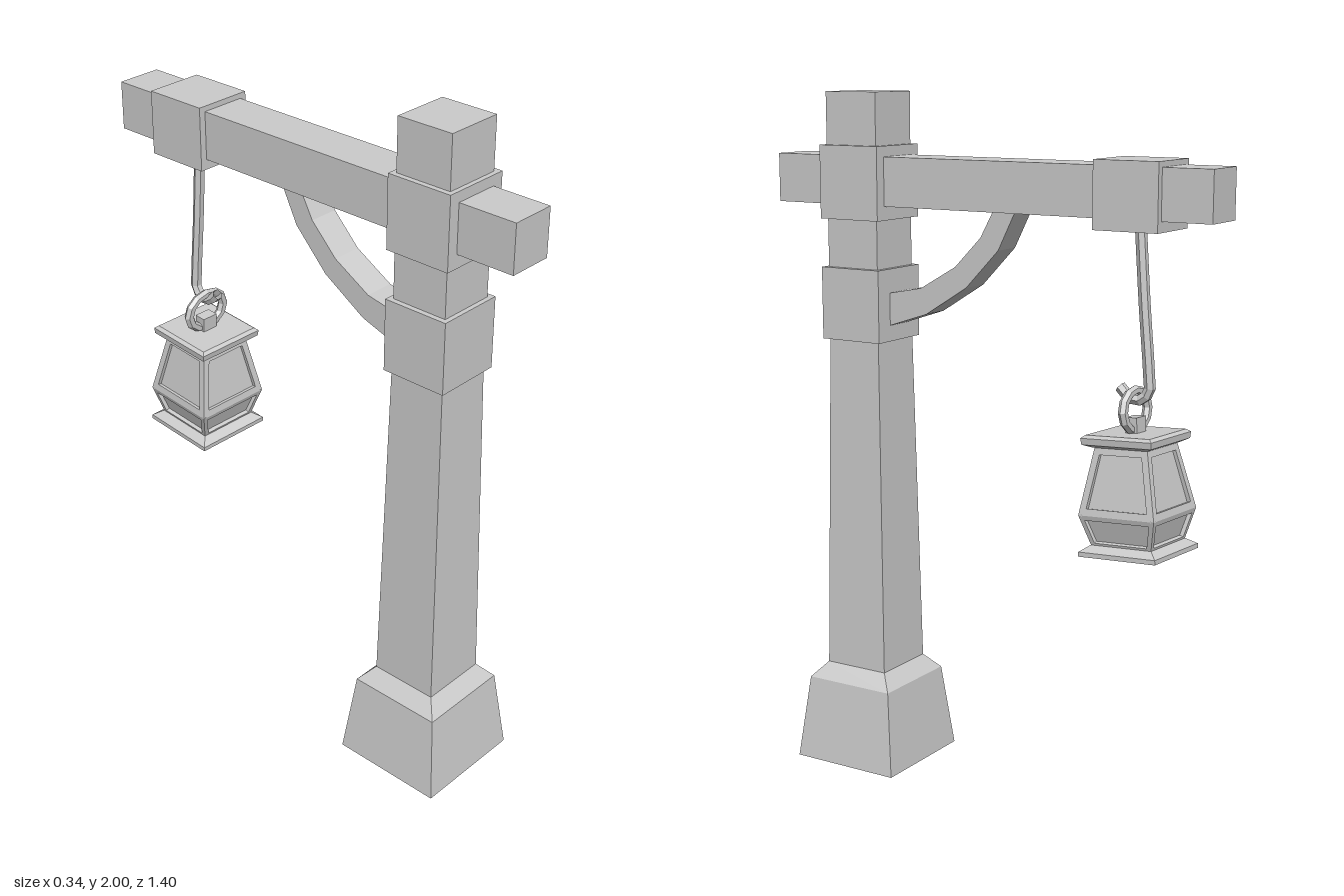
import * as THREE from 'three';

const mat = new THREE.MeshStandardMaterial({ color: 0xcccccc, flatShading: true, side: THREE.DoubleSide });

function add(parent, name, geo, x = 0, y = 0, z = 0) {
  const mesh = new THREE.Mesh(geo, mat);
  mesh.name = name;
  mesh.position.set(x, y, z);
  parent.add(mesh);
  return mesh;
}

// Square-sectioned solid from [half width, height] pairs, bottom to top
function squareLoft(profile) {
  const pts = profile.map(([h, y]) => new THREE.Vector2(h * Math.SQRT2, y));
  return new THREE.LatheGeometry(pts, 4, Math.PI / 4);
}

// Trapezoid frame with an opening, outer face on z = 0
function frameGeometry(bottom, top, height, rail, depth) {
  const trapezoid = (b, t, y0, y1) => [[-b, y0], [b, y0], [t, y1], [-t, y1]].map(p => new THREE.Vector2(...p));
  const at = y => bottom + (top - bottom) * y / height;
  const shape = new THREE.Shape(trapezoid(bottom, top, 0, height));
  const y0 = rail, y1 = height - rail;
  shape.holes.push(new THREE.Path(trapezoid(at(y0) - rail, at(y1) - rail, y0, y1)));
  return new THREE.ExtrudeGeometry(shape, { depth, bevelEnabled: false }).translate(0, 0, -depth);
}

function createLantern() {
  const g = new THREE.Group();
  g.name = 'lantern';

  // Glass body, set slightly behind the frames
  add(g, 'lanternPanels', squareLoft([[0.08, -0.31], [0.106, -0.22], [0.072, -0.035]]));

  // Upper and lower frames on four sides
  for (let i = 0; i < 4; i++) {
    const side = new THREE.Group();
    side.name = 'lanternSide';
    side.rotation.y = i * Math.PI / 2;
    g.add(side);
    for (const [name, bottom, top, y0, y1, rail] of [
      ['upperFrame', 0.118, 0.082, -0.22, -0.035, 0.02],
      ['lowerFrame', 0.092, 0.118, -0.312, -0.22, 0.014],
    ]) {
      const h = Math.hypot(y1 - y0, bottom - top);
      const frame = add(side, name, frameGeometry(bottom, top, h, rail, 0.012), 0, y0, bottom);
      frame.rotation.x = -Math.atan2(bottom - top, y1 - y0);
    }
  }

  // Lid, foot plate, lug and ring
  add(g, 'lanternLid', squareLoft([[0, -0.036], [0.085, -0.036], [0.108, -0.026], [0.11, -0.008], [0.1, 0], [0, 0]]));
  add(g, 'lanternFoot', squareLoft([[0, -0.335], [0.12, -0.335], [0.12, -0.322], [0.095, -0.305], [0, -0.305]]));
  add(g, 'lanternLug', new THREE.BoxGeometry(0.05, 0.045, 0.036), 0, 0.02, 0);
  add(g, 'lanternRing', new THREE.TorusGeometry(0.055, 0.013, 6, 12).scale(1.2, 1, 1), 0, 0.06, 0);

  g.position.set(-0.006, 1.1, -0.452);
  g.rotation.set(0.06, -0.045, 0.03);
  return g;
}

export function createModel() {
  const model = new THREE.Group();
  model.name = 'lanternPost';
  const postZ = 0.425;

  // Post flaring into an open-bottomed base
  add(model, 'post', squareLoft([[0.172, 0], [0.143, 0.25], [0.103, 0.295], [0.086, 1.3], [0.086, 2], [0, 2]]), 0, 0, postZ);

  // Crossbeam and the bands around post and beam
  add(model, 'crossbeam', new THREE.BoxGeometry(0.136, 0.14, 1.4), 0, 1.75, 0);
  add(model, 'lowerBand', new THREE.BoxGeometry(0.204, 0.21, 0.2), 0, 1.395, postZ);
  add(model, 'upperBand', new THREE.BoxGeometry(0.204, 0.21, 0.2), 0, 1.745, postZ);
  add(model, 'beamBand', new THREE.BoxGeometry(0.176, 0.185, 0.193), 0, 1.743, -0.457);

  // Curved brace under the beam, drawn as (-z, y) and turned to face sideways
  const outline = [
    [-0.36, 1.335], [-0.33, 1.335], [-0.2, 1.378], [-0.064, 1.463], [0.042, 1.574], [0.1, 1.69],
    [0.03, 1.69], [-0.016, 1.606], [-0.1, 1.52], [-0.217, 1.452], [-0.33, 1.43], [-0.36, 1.43],
  ].map(p => new THREE.Vector2(...p));
  const brace = new THREE.ExtrudeGeometry(new THREE.Shape(outline), { depth: 0.09, bevelEnabled: false });
  add(model, 'brace', brace.translate(0, 0, -0.045).rotateY(Math.PI / 2));

  // Hanging rod ending in a hook
  const path = new THREE.CatmullRomCurve3(
    [[1.68, -0.458], [1.45, -0.475], [1.26, -0.492], [1.215, -0.493], [1.19, -0.465], [1.195, -0.435], [1.222, -0.405]]
      .map(([y, z]) => new THREE.Vector3(0, y, z)));
  add(model, 'hook', new THREE.TubeGeometry(path, 24, 0.016, 6));

  model.add(createLantern());
  return model;
}
